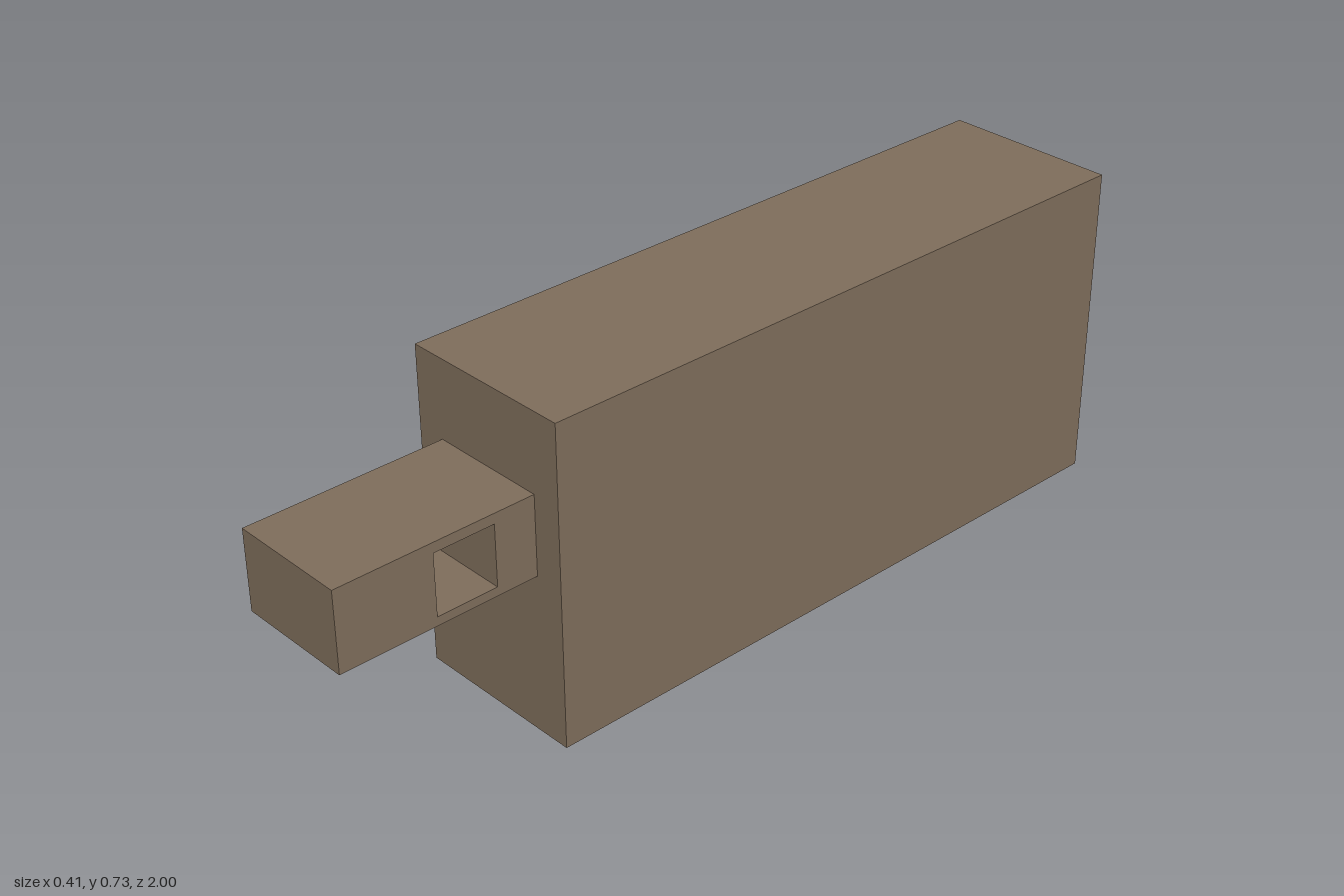
import * as THREE from 'three';

export function createModel() {
  const group = new THREE.Group();
  const brown = new THREE.MeshStandardMaterial({ color: 0x7d6c5a });
  brown.name = 'brown';

  // Main block
  const body = new THREE.Mesh(new THREE.BoxGeometry(0.408, 0.728, 1.545), brown);
  body.name = 'body';
  body.position.set(0, 0.364, -0.2275);
  group.add(body);

  // Rectangle traced in (z, y)
  const rect = (path, z0, z1, y0, y1) =>
    path.moveTo(z0, y0).lineTo(z1, y0).lineTo(z1, y1).lineTo(z0, y1).closePath();

  // Front tongue with a square slot running through from side to side
  const profile = new THREE.Shape();
  rect(profile, 0.545, 1, 0.367, 0.548);
  const slot = new THREE.Path();
  rect(slot, 0.64, 0.78, 0.387, 0.525);
  profile.holes.push(slot);
  const width = 0.272;
  const tongueGeometry = new THREE.ExtrudeGeometry(profile, { depth: width, bevelEnabled: false });
  tongueGeometry.translate(0, 0, -width / 2).rotateY(-Math.PI / 2);
  const tongue = new THREE.Mesh(tongueGeometry, brown);
  tongue.name = 'slottedTongue';
  group.add(tongue);

  return group;
}
